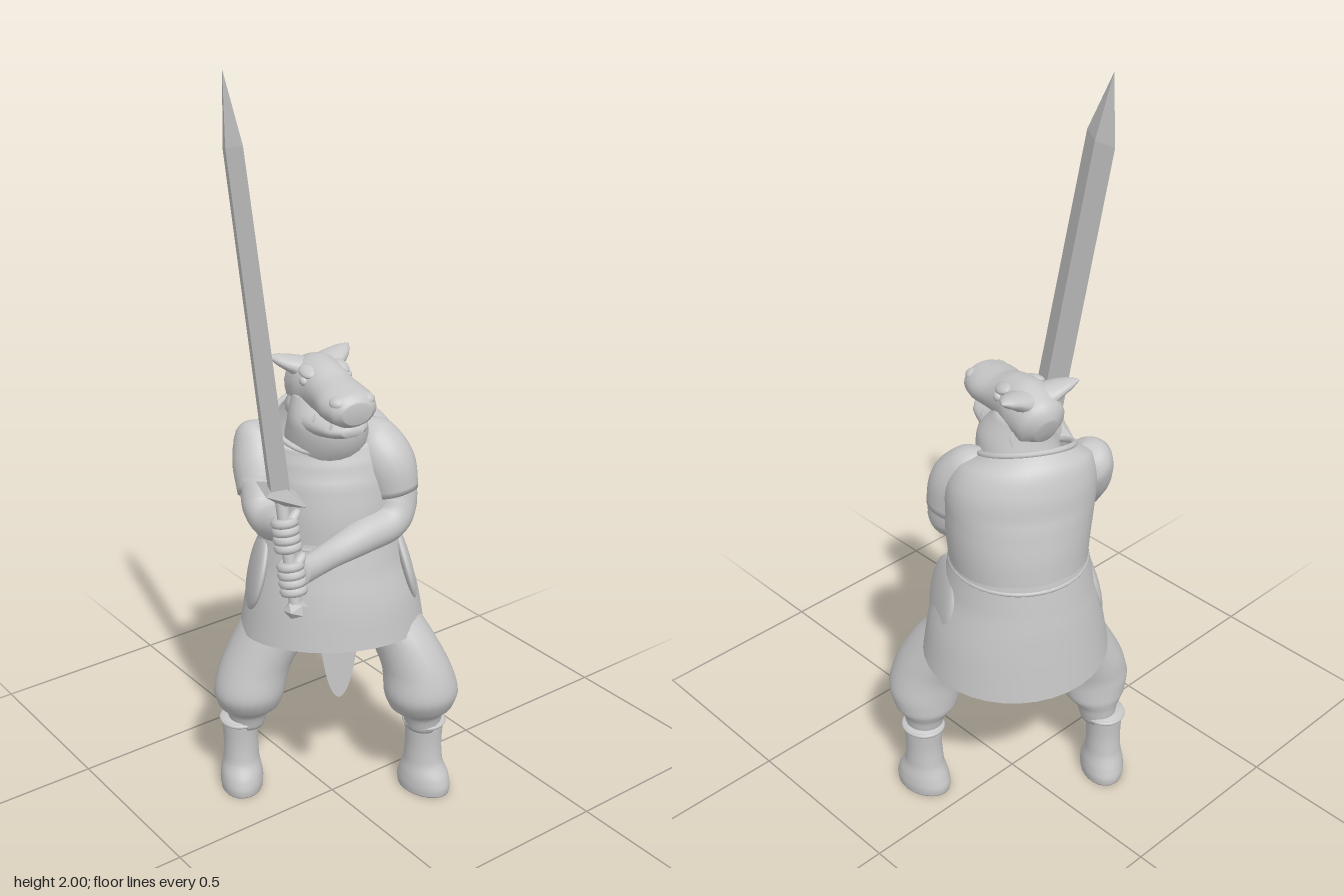
import * as THREE from 'three';

const grey = new THREE.MeshStandardMaterial({ color: 0xc8c8c8, side: THREE.DoubleSide });
grey.name = 'clay grey';

function add(parent, name, geo, pos = [0, 0, 0], rot = [0, 0, 0], scale = [1, 1, 1]) {
  const m = new THREE.Mesh(geo, grey);
  m.name = name;
  m.position.set(...pos);
  m.rotation.set(...rot);
  m.scale.set(...scale);
  parent.add(m);
  return m;
}

function addGroup(parent, name, pos = [0, 0, 0], rot = [0, 0, 0]) {
  const g = new THREE.Group();
  g.name = name;
  g.position.set(...pos);
  g.rotation.set(...rot);
  parent.add(g);
  return g;
}

const faceted = (geo) => {
  const g = geo.index ? geo.toNonIndexed() : geo;
  g.computeVertexNormals();
  return g;
};

// Smooth skin over elliptical rings [x, y, z, radiusA, radiusB, tilt].
// flat: rings stay level (tilt raises the front); otherwise they follow the path.
function skin(rows, { flat = false, caps = true, n = 24, steps = 5 } = {}) {
  const path = new THREE.CatmullRomCurve3(rows.map((r) => new THREE.Vector3(r[0], r[1], r[2])));
  const size = new THREE.CatmullRomCurve3(rows.map((r) => new THREE.Vector3(r[3], r[4], r[5] || 0)));
  const total = (rows.length - 1) * steps;
  const pos = [], idx = [];
  const up = new THREE.Vector3(0, 1, 0);
  const rising = Math.sign(rows[rows.length - 1][1] - rows[0][1]);
  for (let i = 0; i <= total; i++) {
    const c = path.getPoint(i / total), s = size.getPoint(i / total);
    const t = flat ? new THREE.Vector3(0, rising, 0) : path.getTangent(i / total);
    const a = flat ? new THREE.Vector3(1, 0, 0) : up.clone().cross(t).normalize();
    const b = t.clone().cross(a);
    for (let j = 0; j < n; j++) {
      const th = (j / n) * Math.PI * 2;
      const p = c.clone().addScaledVector(a, Math.cos(th) * s.x).addScaledVector(b, Math.sin(th) * s.y);
      if (flat) p.y += s.z * (p.z - c.z);
      pos.push(p.x, p.y, p.z);
    }
  }
  for (let i = 0; i < total; i++) for (let j = 0; j < n; j++) {
    const k = (j + 1) % n, a = i * n + j, b = i * n + k, d = a + n, c = b + n;
    idx.push(a, b, d, b, c, d);
  }
  if (caps) {
    const end = pos.length / 3, first = path.getPoint(0), last = path.getPoint(1);
    pos.push(first.x, first.y, first.z, last.x, last.y, last.z);
    for (let j = 0; j < n; j++) {
      const k = (j + 1) % n;
      idx.push(end, k, j, end + 1, total * n + j, total * n + k);
    }
  }
  const g = new THREE.BufferGeometry();
  g.setAttribute('position', new THREE.Float32BufferAttribute(pos, 3));
  g.setIndex(idx);
  g.computeVertexNormals();
  return g;
}

const ball = new THREE.SphereGeometry(1, 24, 16);

function buildTunic(root) {
  const g = addGroup(root, 'tunic', [0.04, 0, -0.065], [0, -0.52, 0]);
  add(g, 'skirt', skin([
    [0.005, 0.506, 0.01, 0.25, 0.22, 0.12], [0.005, 0.62, 0.01, 0.23, 0.21, 0.06],
    [0, 0.72, 0.008, 0.2, 0.195], [0, 0.82, 0.004, 0.178, 0.178]], { flat: true, caps: false, n: 36 }));
  add(g, 'vest', skin([
    [0, 0.79, 0.004, 0.178, 0.179], [0, 0.88, 0.006, 0.186, 0.176], [-0.005, 0.97, 0.006, 0.192, 0.163],
    [-0.01, 1.035, 0.005, 0.19, 0.148, -0.1], [-0.02, 1.085, 0.012, 0.167, 0.13, -0.24],
    [-0.027, 1.102, 0.03, 0.12, 0.11, -0.42]], { flat: true, caps: false, n: 36 }));
  add(g, 'belt', new THREE.TorusGeometry(1, 0.05, 8, 48), [0, 0.8, 0.004], [Math.PI / 2, 0, 0], [0.175, 0.175, 0.14]);
  add(g, 'collar', new THREE.TorusGeometry(0.12, 0.008, 8, 40), [-0.027, 1.102, 0.03], [Math.PI / 2 + 0.4, 0, 0], [1, 1, 1]);
  for (const s of [1, -1])
    add(g, 'hipPouch', ball, [s * 0.196, 0.685, 0.03], [0, 0, s * 0.24], [0.02, 0.11, 0.1]);
  // Hanging loincloth tongue
  const tongue = new THREE.Shape();
  tongue.moveTo(-0.06, 0.64);
  tongue.lineTo(-0.045, 0.52);
  tongue.quadraticCurveTo(-0.028, 0.39, 0, 0.385);
  tongue.quadraticCurveTo(0.028, 0.39, 0.045, 0.52);
  tongue.lineTo(0.06, 0.64);
  add(g, 'loincloth', new THREE.ExtrudeGeometry(tongue, { depth: 0.006, bevelEnabled: false }), [0, 0, 0.2]);
}

function buildLegs(root) {
  const legs = [
    { name: 'leftLeg', boot: [0.224, 0, 0.125], yaw: 0.15, rows: [
      [0.11, 0.66, 0.0, 0.09, 0.1], [0.132, 0.58, 0.035, 0.085, 0.1], [0.16, 0.5, 0.086, 0.083, 0.108],
      [0.182, 0.41, 0.135, 0.09, 0.102], [0.19, 0.34, 0.148, 0.101, 0.102],
      [0.2, 0.285, 0.138, 0.088, 0.087], [0.212, 0.25, 0.13, 0.058, 0.06], [0.216, 0.2, 0.13, 0.045, 0.048]] },
    { name: 'rightLeg', boot: [-0.178, 0, -0.188], yaw: -0.55, rows: [
      [-0.03, 0.66, -0.07, 0.1, 0.11], [-0.065, 0.58, -0.1, 0.1, 0.108], [-0.108, 0.5, -0.12, 0.1, 0.104],
      [-0.157, 0.41, -0.135, 0.095, 0.098], [-0.178, 0.34, -0.137, 0.096, 0.098],
      [-0.172, 0.285, -0.15, 0.085, 0.085], [-0.166, 0.25, -0.168, 0.058, 0.06], [-0.165, 0.2, -0.174, 0.045, 0.048]] },
  ];
  for (const l of legs) {
    const g = addGroup(root, l.name);
    add(g, 'baggyTrouser', skin(l.rows, { flat: true }));
    const b = addGroup(g, 'boot', l.boot, [0, l.yaw, 0]);
    add(b, 'bootShaftAndFoot', skin([
      [0, 0.225, 0, 0.052, 0.057], [0, 0.15, 0, 0.048, 0.053], [0, 0.09, 0, 0.05, 0.058],
      [0, 0.05, 0.004, 0.058, 0.076], [0, 0.02, 0.004, 0.06, 0.084], [0, 0, 0.004, 0.058, 0.082]], { flat: true }));
    add(b, 'bootCuff', new THREE.TorusGeometry(0.052, 0.006, 8, 28), [0, 0.215, 0], [Math.PI / 2, 0, 0], [1, 1.08, 1]);
  }
}

function buildArms(root) {
  const left = addGroup(root, 'leftArm');
  add(left, 'sleeve', skin([
    [0.085, 1.085, 0.0, 0.03, 0.03], [0.107, 1.055, 0.03, 0.064, 0.062],
    [0.122, 1.0, 0.07, 0.072, 0.073], [0.132, 0.92, 0.09, 0.062, 0.065]]));
  add(left, 'bareArm', skin([
    [0.132, 0.97, 0.085, 0.055, 0.055], [0.132, 0.9, 0.1, 0.054, 0.055], [0.1, 0.855, 0.112, 0.053, 0.05],
    [0.01, 0.838, 0.118, 0.047, 0.046], [-0.1, 0.822, 0.128, 0.035, 0.036], [-0.18, 0.822, 0.152, 0.03, 0.034],
    [-0.225, 0.825, 0.168, 0.028, 0.036]]));
  const right = addGroup(root, 'rightArm');
  add(right, 'sleeve', skin([
    [-0.1, 1.08, -0.155, 0.03, 0.03], [-0.122, 1.055, -0.148, 0.062, 0.064],
    [-0.142, 1.0, -0.122, 0.068, 0.07], [-0.162, 0.93, -0.085, 0.06, 0.06]]));
  add(right, 'bareArm', skin([
    [-0.165, 0.97, -0.09, 0.05, 0.05], [-0.18, 0.91, -0.06, 0.048, 0.05], [-0.192, 0.89, -0.01, 0.043, 0.046],
    [-0.207, 0.905, 0.06, 0.036, 0.04], [-0.222, 0.92, 0.11, 0.028, 0.033], [-0.235, 0.925, 0.14, 0.025, 0.035]]));
}

function buildSword(root) {
  const g = addGroup(root, 'swordAndHands', [-0.25, 0.735, 0.19], [-0.203, 0, 0]);
  const blade = addGroup(g, 'blade', [-0.003, 0, 0], [0, -0.08, 0]);
  const thin = [0.38, 1, 1];
  add(blade, 'bladeBody', faceted(new THREE.CylinderGeometry(0.05, 0.056, 0.82, 4, 1, true)), [0, 0.71, 0], [0, 0, 0], thin);
  add(blade, 'bladeTip', faceted(new THREE.ConeGeometry(0.05, 0.17, 4, 1, true)), [0, 1.205, 0], [0, 0, 0], thin);
  add(g, 'crossguard', faceted(new THREE.OctahedronGeometry(1)), [0, 0.3, 0], [0, -0.21, 0], [0.038, 0.03, 0.165]);
  add(g, 'grip', new THREE.CylinderGeometry(0.016, 0.016, 0.28, 16), [0, 0.16, 0]);
  add(g, 'pommel', faceted(new THREE.IcosahedronGeometry(0.032, 0)), [0, 0.008, 0], [0, 0, 0], [1, 0.75, 1]);
  // Two fists stacked on the grip
  for (const [name, y, px, pz] of [['leftHand', 0.09, 0.018, -0.012], ['rightHand', 0.2, 0.01, -0.02]]) {
    const h = addGroup(g, name, [0, y, 0]);
    add(h, 'palm', ball, [px, 0, pz], [0, 0, 0], [0.03, 0.042, 0.03]);
    for (let i = 0; i < 4; i++)
      add(h, 'finger', new THREE.TorusGeometry(0.023, 0.0125, 8, 20), [-0.001, -0.032 + i * 0.021, 0.003], [Math.PI / 2, 0, 0]);
    add(h, 'thumb', ball, [0.015, 0.04, 0.018], [0.5, 0.4, 0.6], [0.026, 0.012, 0.013]);
  }
}

function buildHead(root) {
  add(root, 'neck', skin([
    [0.012, 1.0, -0.055, 0.1, 0.1], [0.0, 1.07, -0.025, 0.104, 0.112],
    [-0.008, 1.13, -0.01, 0.1, 0.103], [-0.01, 1.2, -0.035, 0.07, 0.07]], { flat: true }));
  const g = addGroup(root, 'head', [-0.01, 1.2, -0.045], [0, -0.19, 0]);
  add(g, 'skullAndSnout', skin([
    [0, -0.02, -0.085, 0.03, 0.035], [0, -0.01, -0.06, 0.066, 0.07], [0, 0.004, 0, 0.073, 0.08],
    [0, 0.01, 0.05, 0.066, 0.07], [0, 0.008, 0.1, 0.066, 0.055], [0, 0.005, 0.155, 0.073, 0.05],
    [0, 0.002, 0.2, 0.062, 0.045], [0, 0, 0.222, 0.038, 0.028]]));
  add(g, 'lowerJaw', skin([
    [0, -0.05, -0.04, 0.075, 0.06], [0, -0.062, 0.04, 0.084, 0.053], [0, -0.062, 0.11, 0.073, 0.036],
    [0, -0.058, 0.165, 0.058, 0.024], [0, -0.055, 0.198, 0.028, 0.013]]));
  for (const s of [1, -1]) {
    add(g, 'ear', skin([
      [s * 0.03, 0.045, -0.025, 0.046, 0.03], [s * 0.064, 0.06, -0.035, 0.038, 0.02],
      [s * 0.09, 0.07, -0.046, 0.024, 0.013], [s * 0.112, 0.078, -0.056, 0.003, 0.003]], { n: 14 }));
    add(g, 'eye', ball, [s * 0.06, 0.036, 0.045], [0, 0, 0], [0.011, 0.012, 0.014]);
    add(g, 'brow', ball, [s * 0.047, 0.058, 0.04], [0.2, s * -0.15, s * -0.4], [0.02, 0.011, 0.03]);
    add(g, 'nostril', ball, [s * 0.036, 0.024, 0.19], [0, 0, 0], [0.024, 0.017, 0.024]);
    for (const [x, z] of [[0.045, 0.17], [0.062, 0.11]])
      add(g, 'tooth', new THREE.ConeGeometry(0.006, 0.026, 8), [s * x, -0.038, z]);
  }
}

export function createModel() {
  const root = new THREE.Group();
  root.name = 'beastWarrior';
  buildLegs(root);
  buildTunic(root);
  buildArms(root);
  buildSword(root);
  buildHead(root);
  return root;
}
